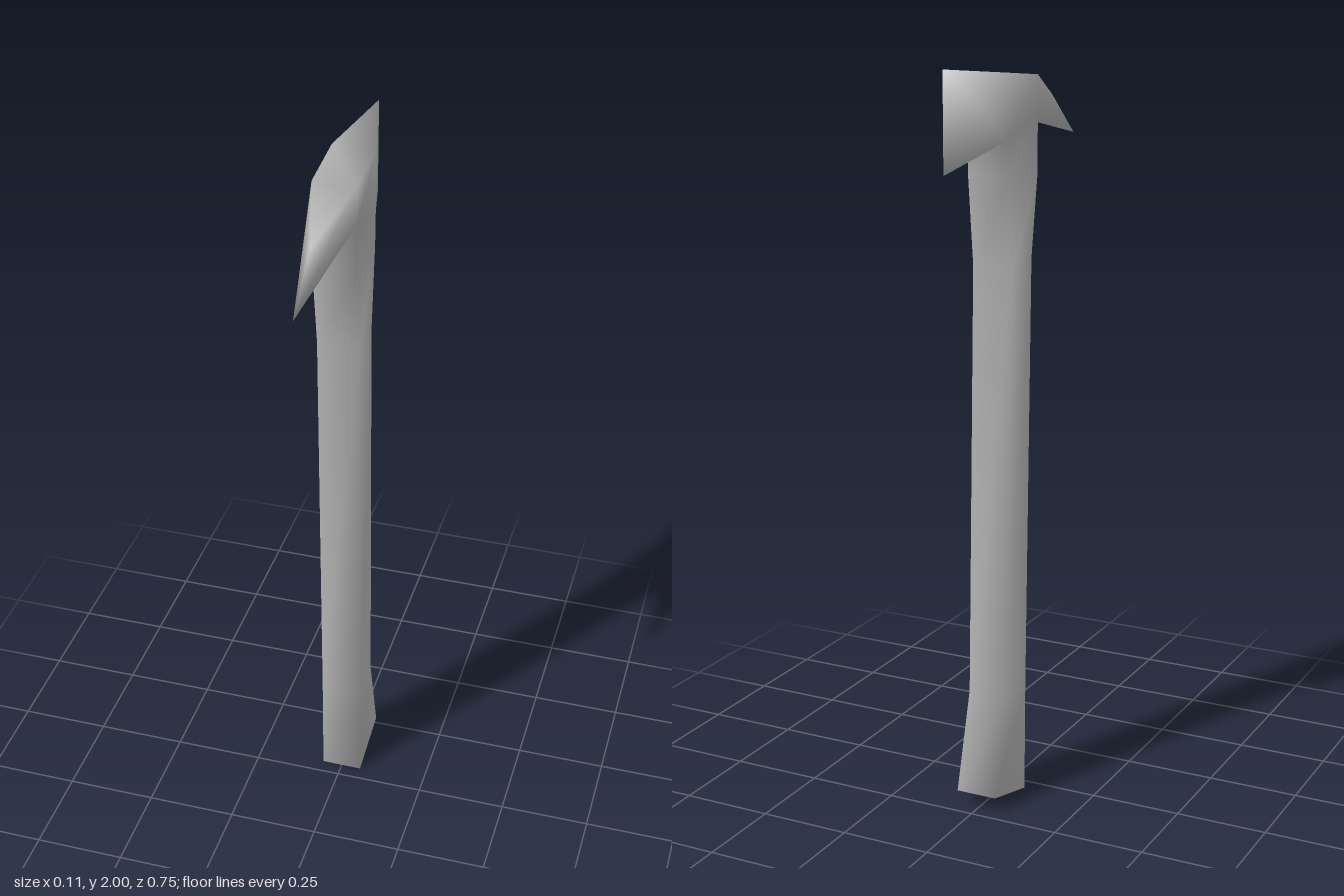
import * as THREE from 'three';

// Half width of the handle and of the thick part of the head
const W = 0.057;

export function createModel() {
  const grey = new THREE.MeshStandardMaterial({ color: 0xb4b4b4 });
  grey.name = 'grey metal';

  // Four-cornered sections from butt to head top: front y, front z, back y, back z
  const sections = [
    [0, -0.04, 0.045, -0.222],
    [0.3, -0.036, 0.31, -0.148],
    [1.49, -0.004, 1.48, -0.114],
    [1.71, 0.031, 1.72, -0.14],
    [1.86, 0.031, 1.81, -0.142],
    [1.96, 0.031, 1.977, -0.142],
  ];
  const points = [];
  for (const [fy, fz, by, bz] of sections) {
    points.push(W, fy, fz, -W, fy, fz, -W, by, bz, W, by, bz);
  }
  // Centre line points of the head: pick ridge, pick tip, blade top, blade bottom
  points.push(0, 1.89, 0.235, 0, 1.775, 0.375, 0, 2, -0.375, 0, 1.745, -0.375);
  const [ridge, tip, bladeTop, bladeBottom] = [24, 25, 26, 27];

  const quad = (a, b, c, d) => [a, b, c, a, c, d];
  const side = (i, k) => {
    const a = 4 * i + k, b = 4 * i + ((k + 1) % 4);
    return quad(b, a, a + 4, b + 4);
  };

  // Handle: butt face and four sides
  const handle = quad(0, 1, 2, 3);
  for (let i = 0; i < 4; i++) {
    for (let k = 0; k < 4; k++) handle.push(...side(i, k));
  }

  const head = [
    // Thick middle: top and both cheeks
    ...quad(20, 23, 22, 21), ...side(4, 1), ...side(4, 3),
    // Pick: top, left, right, underside
    20, 21, ridge,
    ...quad(tip, 16, 20, ridge),
    tip, 21, 17, tip, ridge, 21,
    17, 16, tip,
    // Blade: top, left, right, underside
    22, 23, bladeTop,
    ...quad(19, bladeBottom, bladeTop, 23),
    18, bladeTop, bladeBottom, 18, 22, bladeTop,
    19, 18, bladeBottom,
  ];

  // Smooth normals are shared across the joint of handle and head
  const whole = new THREE.BufferGeometry();
  whole.setAttribute('position', new THREE.Float32BufferAttribute(points, 3));
  whole.setIndex([...handle, ...head]);
  whole.computeVertexNormals();

  const group = new THREE.Group();
  group.name = 'axe';
  for (const [name, index] of Object.entries({ handle, head })) {
    const geometry = whole.clone();
    geometry.setIndex(index);
    const mesh = new THREE.Mesh(geometry, grey);
    mesh.name = name;
    group.add(mesh);
  }
  return group;
}
